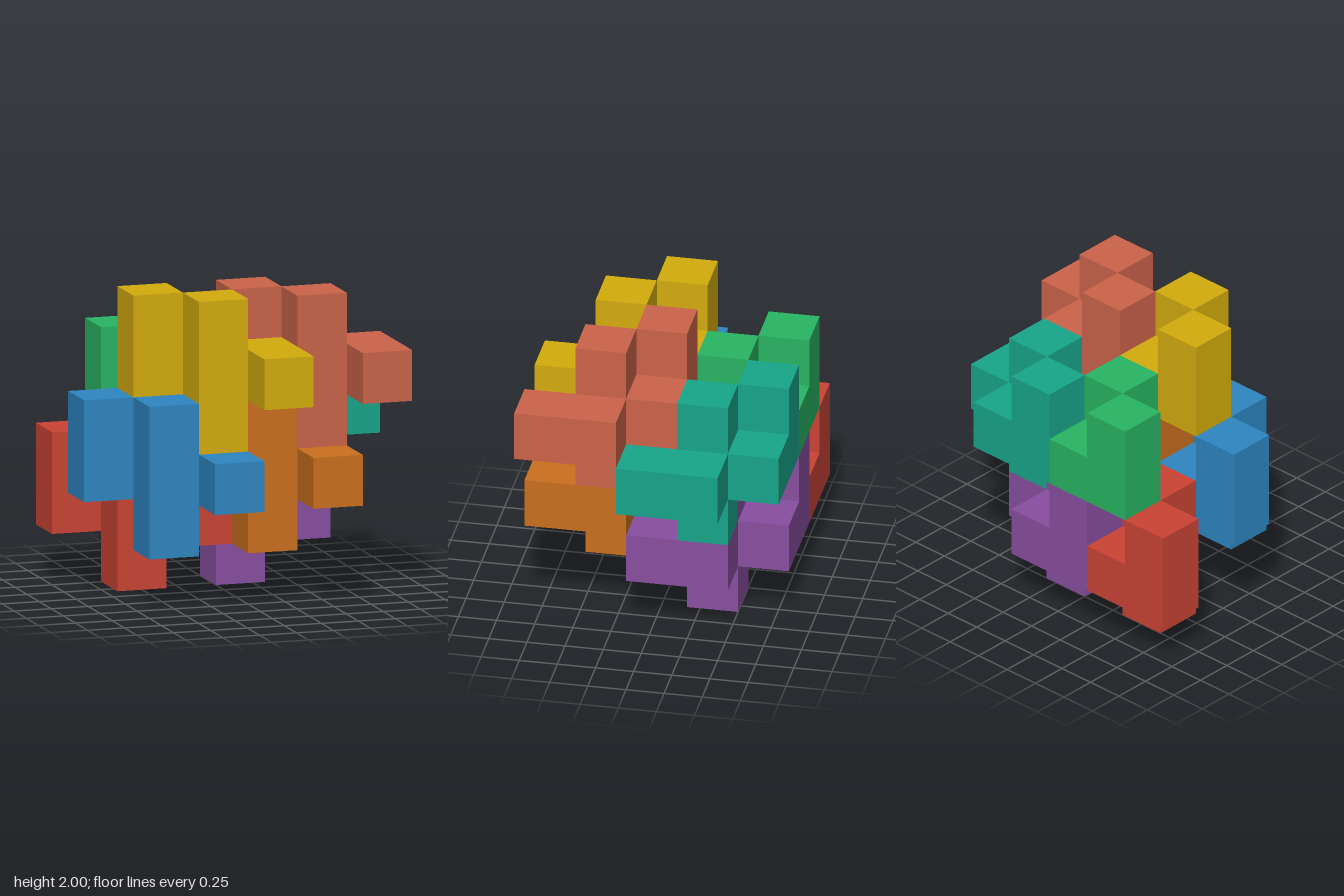
import * as THREE from 'three';
import { mergeGeometries } from 'three/addons/utils/BufferGeometryUtils.js';

const U = 1 / 3; // edge of one cube

// Eight-cube block, as cell offsets from its central cube
const CELLS = [
  [0, 0, 0], [0, 1, 0], [0, -1, 0],       // upright column
  [1, 0, 0], [1, 0, 1],                   // arm to the side, hooked forward
  [0, 0, -1], [-1, 0, -1], [-1, 1, -1],   // arm to the back, hooked sideways and up
];

// Translated copies of the block that interlock without gaps: name, colour, central cell
const BLOCKS = [
  ['redBlock', 0xcb4335, [1, 1, 1]],
  ['purpleBlock', 0x884ea0, [3, 1, 1]],
  ['blueBlock', 0x2e86c1, [1, 2, 3]],
  ['orangeBlock', 0xca6f1e, [3, 2, 3]],
  ['greenBlock', 0x28b463, [2, 3, 1]],
  ['tealBlock', 0x17a589, [4, 3, 1]],
  ['goldBlock', 0xd4ac0d, [2, 4, 3]],
  ['coralBlock', 0xcb6349, [4, 4, 3]],
];

// Outer skin of the block: one square per cube side that has no neighbour
function blockGeometry() {
  const filled = new Set(CELLS.map(String));
  const sides = [[1, 0, 0], [-1, 0, 0], [0, 1, 0], [0, -1, 0], [0, 0, 1], [0, 0, -1]];
  const forward = new THREE.Vector3(0, 0, 1);
  const faces = [];
  for (const cell of CELLS) {
    for (const side of sides) {
      if (filled.has(String(cell.map((c, a) => c + side[a])))) continue;
      const turn = new THREE.Quaternion().setFromUnitVectors(forward, new THREE.Vector3(...side));
      faces.push(new THREE.PlaneGeometry(U, U)
        .applyQuaternion(turn)
        .translate(...cell.map((c, a) => (c + side[a] / 2) * U)));
    }
  }
  return mergeGeometries(faces);
}

export function createModel() {
  const group = new THREE.Group();
  group.name = 'interlockingBlocks';
  const geometry = blockGeometry();
  for (const [name, color, [i, j, k]] of BLOCKS) {
    const block = new THREE.Mesh(geometry, new THREE.MeshStandardMaterial({ color }));
    block.name = name;
    block.position.set((i - 2.5) * U, (j + 0.5) * U, (k - 2) * U);
    group.add(block);
  }
  return group;
}
